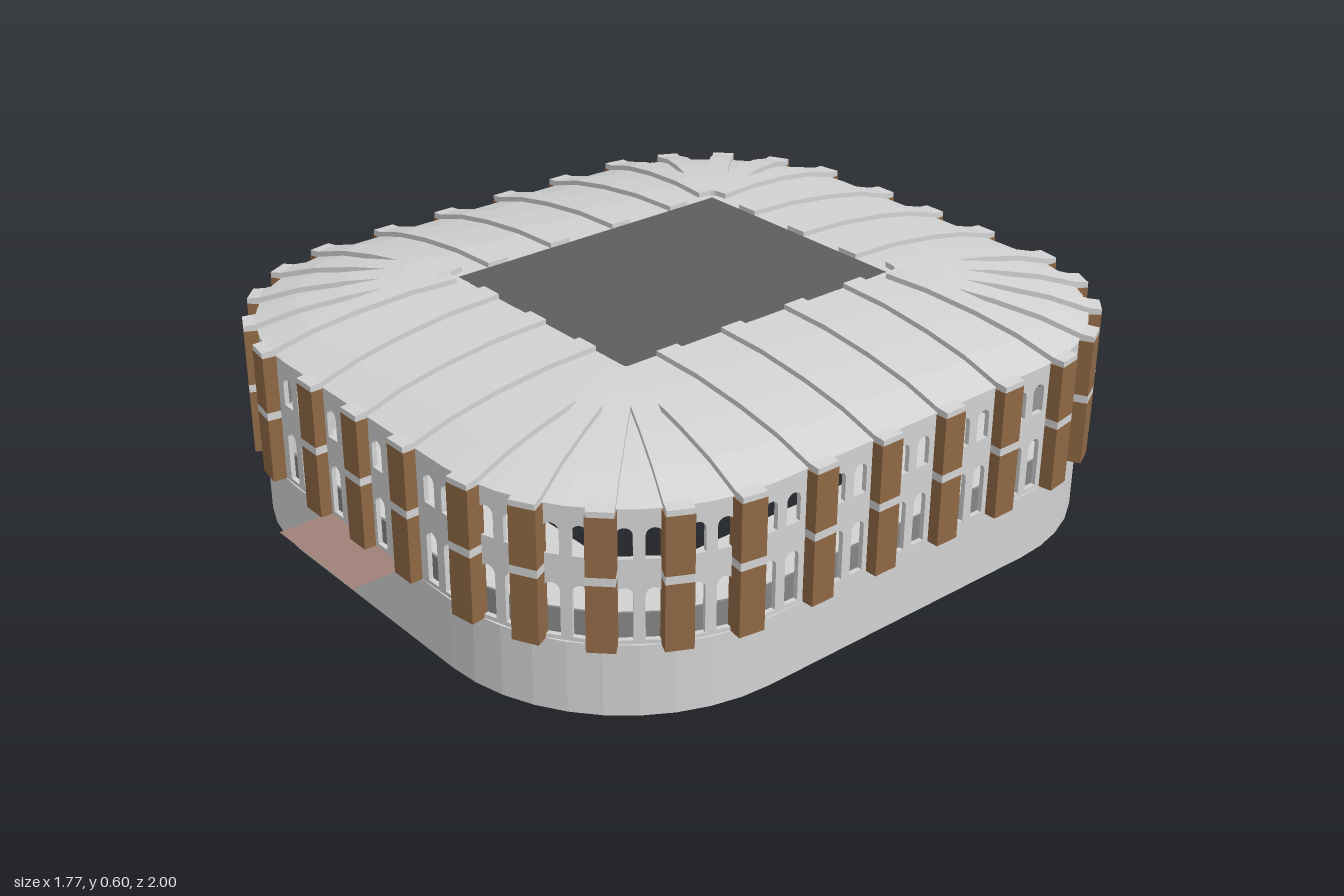
import * as THREE from 'three';

const HX = 0.325, HZ = 0.415, EDGE = 0.5;   // half size of roof opening, distance from it to the wall
const CX = 0.03, CZ = -0.055;               // centre of the building
const BASE_Y = 0.18, WALL_Y = 0.512;
const ROOF = [[0.5, 0.512], [0.4, 0.543], [0.28, 0.566], [0.14, 0.583], [0, 0.588]]; // distance, height

function material(name, color, side = THREE.FrontSide) {
  const m = new THREE.MeshStandardMaterial({ color, side });
  m.name = name;
  return m;
}

// Stations round a rounded rectangle: an anchor on the inner rectangle plus an outward angle
function stations(sideX, sideZ, cornerDegrees) {
  const list = [];
  const signs = [[1, 1], [-1, 1], [-1, -1], [1, -1]];
  for (let q = 0; q < 4; q++) {
    const a = q * Math.PI / 2, c = Math.cos(a), s = Math.sin(a);
    for (const t of q % 2 ? sideX : sideZ) {
      list.push({ x: c * HX - s * t, z: s * HZ + c * t, a, corner: false });
    }
    for (const deg of cornerDegrees) {
      list.push({ x: signs[q][0] * HX, z: signs[q][1] * HZ, a: a + deg * Math.PI / 180, corner: true });
    }
  }
  return list;
}

const at = (s, d) => [s.x + d * Math.cos(s.a), s.z + d * Math.sin(s.a)];

// Surface through offset copies of the outline, one per [distance, height] row
function loft(outline, rows) {
  const pos = [], idx = [], n = outline.length;
  for (const [d, y] of rows) {
    for (const s of outline) {
      const [x, z] = at(s, d);
      pos.push(x, y, z);
    }
  }
  for (let r = 0; r < rows.length - 1; r++) {
    for (let i = 0; i < n; i++) {
      const a = r * n + i, b = r * n + (i + 1) % n;
      idx.push(a, a + n, b, b, a + n, b + n);
    }
  }
  const g = new THREE.BufferGeometry();
  g.setAttribute('position', new THREE.Float32BufferAttribute(pos, 3));
  g.setIndex(idx);
  const flat = g.toNonIndexed();
  flat.computeVertexNormals();
  return flat;
}

function add(parent, name, geometry, mat, x = 0, y = 0, z = 0) {
  const mesh = new THREE.Mesh(geometry, mat);
  mesh.name = name;
  mesh.position.set(x, y, z);
  parent.add(mesh);
  return mesh;
}

// Arched opening
function arch(x, bottom, top, width) {
  const r = width / 2, p = new THREE.Path();
  p.moveTo(x - r, bottom);
  p.lineTo(x + r, bottom);
  p.lineTo(x + r, top - r);
  p.absarc(x, top - r, r, 0, Math.PI, false);
  p.lineTo(x - r, bottom);
  return p;
}

// Wall bay with two storeys of paired arches
function bayGeometry(length) {
  const h = length / 2, shape = new THREE.Shape();
  shape.moveTo(-h, BASE_Y);
  shape.lineTo(h, BASE_Y);
  shape.lineTo(h, WALL_Y);
  shape.lineTo(-h, WALL_Y);
  shape.closePath();
  for (const x of [-0.032, 0.032]) {
    shape.holes.push(arch(x, 0.19, 0.32, 0.038), arch(x, 0.39, 0.465, 0.038));
  }
  const g = new THREE.ExtrudeGeometry(shape, { depth: 0.012, bevelEnabled: false, curveSegments: 6 });
  return g.translate(0, 0, -0.012);
}

// Raised roof rib following the roof curve
function ribGeometry(start, width) {
  const curve = ROOF.map(([d, y]) => [Math.max(d, start), y]);
  const shape = new THREE.Shape();
  shape.moveTo(0.53, 0.508);
  shape.lineTo(0.53, 0.522);
  curve.forEach(([d, y]) => shape.lineTo(d, y + 0.013));
  curve.reverse().forEach(([d, y]) => shape.lineTo(d, y - 0.004));
  shape.closePath();
  const g = new THREE.ExtrudeGeometry(shape, { depth: width, bevelEnabled: false });
  return g.translate(0, 0, -width / 2);
}

export function createModel() {
  const concrete = material('concrete', 0xd2d2d2, THREE.DoubleSide);
  const brick = material('brick', 0x8f6844);
  const dark = material('dark grey', 0x5e5e5e, THREE.DoubleSide);
  const railGrey = material('rail grey', 0x858585);
  const paving = material('paving', 0xa08278, THREE.DoubleSide);

  const root = new THREE.Group();
  root.name = 'stadium';
  const building = new THREE.Group();
  building.name = 'building';
  building.position.set(CX, 0, CZ);
  root.add(building);

  const outline = stations([], [], Array.from({ length: 11 }, (_, i) => i * 9));
  add(building, 'base', loft(outline, [[EDGE, 0], [EDGE, BASE_Y]]), concrete);
  add(building, 'roof', loft(outline, ROOF), concrete);

  // Floor with a central opening
  const floor = new THREE.Shape(outline.map((s) => new THREE.Vector2(...at(s, EDGE))));
  const fx = 0.29, fz = 0.37;
  floor.holes.push(new THREE.Path([[-fx, -fz], [-fx, fz], [fx, fz], [fx, -fz]]
    .map(([x, z]) => new THREE.Vector2(x, z))));
  add(building, 'floor', new THREE.ShapeGeometry(floor).rotateX(Math.PI / 2), concrete);

  // Panel closing the roof opening
  add(building, 'roofPanel', new THREE.PlaneGeometry(HX * 2, HZ * 2).rotateX(-Math.PI / 2), dark, 0, 0.589, 0);

  // Pillars and roof ribs
  const posts = stations([0.1875, 0, -0.1875].reverse(), [-0.295, -0.1, 0.1, 0.295], [9, 27, 45, 63, 81]);
  const box = (h) => new THREE.BoxGeometry(0.045, h, 0.064);
  const lower = box(0.165), band = box(0.02), upper = box(0.143);
  const sideRib = ribGeometry(0, 0.06), cornerRib = ribGeometry(0.02, 0.06);
  for (const s of posts) {
    const bay = new THREE.Group();
    bay.name = 'pillar';
    bay.position.set(s.x, 0, s.z);
    bay.rotation.y = -s.a;
    add(bay, 'lowerPillar', lower, brick, 0.5075, 0.2625, 0);
    add(bay, 'pillarBand', band, concrete, 0.5075, 0.355, 0);
    add(bay, 'upperPillar', upper, brick, 0.5075, 0.4365, 0);
    add(bay, 'roofRib', s.corner ? cornerRib : sideRib, concrete);
    building.add(bay);
  }

  // Arcaded wall bays between neighbouring pillars
  posts.forEach((s, i) => {
    const [x0, z0] = at(s, EDGE);
    const [x1, z1] = at(posts[(i + 1) % posts.length], EDGE);
    const length = Math.hypot(x1 - x0, z1 - z0);
    const bay = new THREE.Group();
    bay.name = 'wallBay';
    bay.position.set((x0 + x1) / 2, 0, (z0 + z1) / 2);
    bay.rotation.y = Math.atan2(z1 - z0, x0 - x1);
    add(bay, 'arcade', bayGeometry(length), concrete);
    add(bay, 'rail', new THREE.BoxGeometry(0.12, 0.065, 0.006), railGrey, 0, 0.2175, -0.016);
    building.add(bay);
  });

  // Entrance landings at the front and one side
  const landing = (name, x0, x1, z0, z1) => add(root, name,
    new THREE.PlaneGeometry(x1 - x0, z1 - z0).rotateX(-Math.PI / 2), paving, (x0 + x1) / 2, BASE_Y, (z0 + z1) / 2);
  landing('frontLanding', -0.13, 0.185, 0.86, 1);
  landing('sideLanding', -0.885, -0.79, -0.32, 0.205);

  return root;
}
